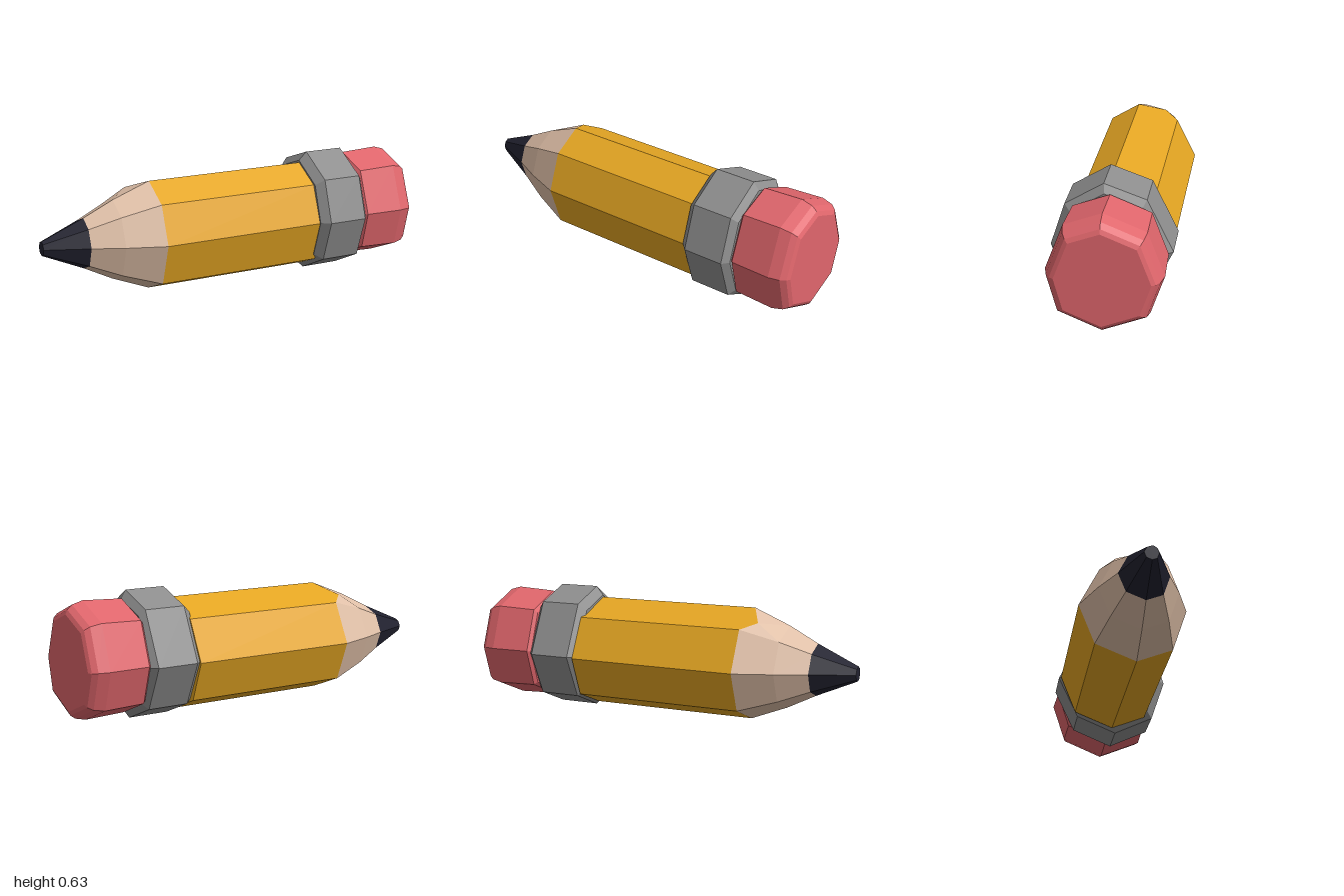
import * as THREE from 'three';

// Cross-sections as [z, y], running top, front, bottom, back
const SHAFT = [[0.03, 0.58], [0.175, 0.49], [0.245, 0.3], [0.175, 0.09], [0, 0.02], [-0.2, 0.1], [-0.28, 0.3], [-0.18, 0.5]];
const BAND = [[0.035, 0.635], [0.22, 0.52], [0.29, 0.305], [0.22, 0.095], [0.02, 0], [-0.185, 0.085], [-0.29, 0.305], [-0.165, 0.565]];
const RUBBER = [[0, 0.61], [0.18, 0.54], [0.265, 0.315], [0.215, 0.12], [0, 0.03], [-0.215, 0.12], [-0.28, 0.315], [-0.2, 0.53]];
const CY = 0.3, CZ = -0.015;

const color = (name, hex) => Object.assign(new THREE.MeshStandardMaterial({ color: hex, flatShading: true }), { name });

// Section corner i, scaled about the pencil's axis and placed at x
const corner = (section, i, x, s) => {
  const [z, y] = section[i % section.length];
  return [x, CY + (y - CY) * s, CZ + (z - CZ) * s];
};

const meshFrom = (name, points, material) => {
  const geometry = new THREE.BufferGeometry();
  geometry.setAttribute('position', new THREE.Float32BufferAttribute(points.flat(), 3));
  geometry.computeVertexNormals();
  const mesh = new THREE.Mesh(geometry, material);
  mesh.name = name;
  return mesh;
};

// Capped loft through stations [x, scale], in order of rising x
function loft(name, section, stations, material) {
  const points = [];
  const first = stations[0], last = stations[stations.length - 1];
  for (let i = 0; i < section.length; i++) {
    for (let k = 0; k < stations.length - 1; k++) {
      const a0 = corner(section, i, ...stations[k]), a1 = corner(section, i + 1, ...stations[k]);
      const b0 = corner(section, i, ...stations[k + 1]), b1 = corner(section, i + 1, ...stations[k + 1]);
      points.push(a0, a1, b0, a1, b1, b0);
    }
    points.push([first[0], CY, CZ], corner(section, i + 1, ...first), corner(section, i, ...first));
    points.push([last[0], CY, CZ], corner(section, i, ...last), corner(section, i + 1, ...last));
  }
  return meshFrom(name, points, material);
}

export function createModel() {
  const yellow = color('yellow paint', 0xe5a623);
  const wood = color('bare wood', 0xe0c0a8);
  const lead = color('dark graphite', 0x222230);
  const metal = color('grey metal', 0x8e8e8e);
  const pink = color('pink rubber', 0xe0666c);

  const group = new THREE.Group();
  group.name = 'pencil';

  // Tip, sharpened wood and painted shaft share one section
  group.add(
    loft('graphiteTip', SHAFT, [[-1, 0.13], [-0.79, 0.46]], lead),
    loft('sharpenedWood', SHAFT, [[-0.79, 0.46], [-0.64, 0.73], [-0.45, 1]], wood),
    loft('shaft', SHAFT, [[-0.45, 1], [0.43, 1]], yellow),
  );

  // Pointed end of paint on the upper back face, with wood falling away from it
  const r7 = corner(SHAFT, 7, -0.45, 1), r0 = corner(SHAFT, 0, -0.45, 1);
  const w7 = corner(SHAFT, 7, -0.64, 0.73), w0 = corner(SHAFT, 0, -0.64, 0.73);
  const peak = [-0.52, 0.527, -0.11];
  group.add(
    meshFrom('paintPoint', [r7, peak, r0], yellow),
    meshFrom('woodAroundPaintPoint', [r7, w7, peak, r0, peak, w0, peak, w7, w0], wood),
  );

  // Bevelled metal band and rounded eraser
  group.add(
    loft('ferrule', BAND, [[0.415, 0.87], [0.455, 1], [0.665, 1], [0.692, 0.88]], metal),
    loft('eraser', RUBBER, [[0.69, 0.9], [0.705, 0.97], [0.91, 1], [0.965, 0.95], [0.99, 0.88], [1, 0.81]], pink),
  );
  return group;
}
